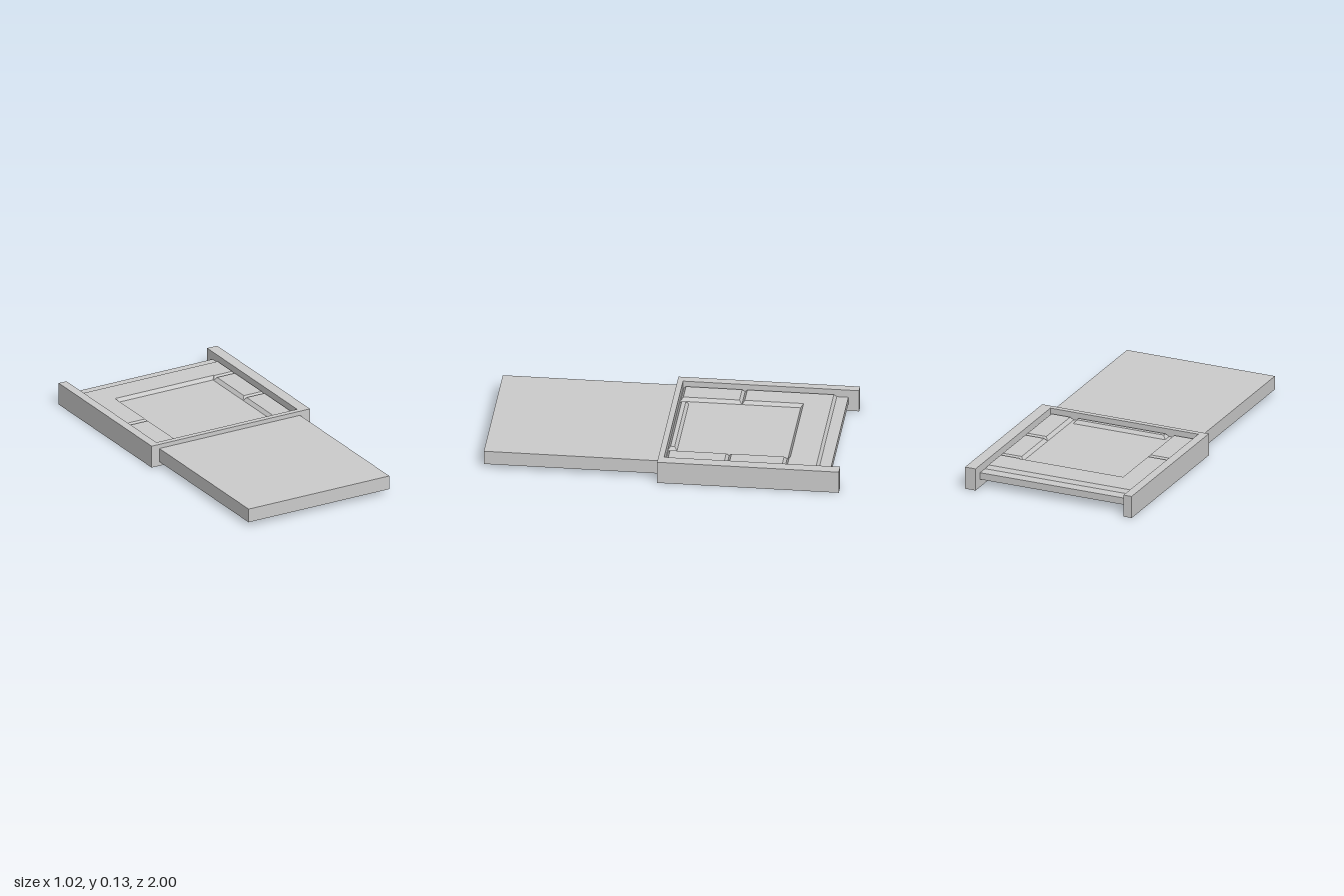
import * as THREE from 'three';

const material = new THREE.MeshStandardMaterial({ color: 0xcccccc, flatShading: true });

// Box given by its limits on each axis
function block(name, x0, x1, y0, y1, z0, z1) {
  const mesh = new THREE.Mesh(new THREE.BoxGeometry(x1 - x0, y1 - y0, z1 - z0), material);
  mesh.position.set((x0 + x1) / 2, (y0 + y1) / 2, (z0 + z1) / 2);
  mesh.name = name;
  return mesh;
}

// Raised panel, bevelled above and below, from an outline of [x, z] corners
function raisedPanel(name, outline) {
  const shape = new THREE.Shape(outline.map(([x, z]) => new THREE.Vector2(x, -z)));
  const geometry = new THREE.ExtrudeGeometry(shape, {
    depth: 0.04, bevelThickness: 0.02, bevelSize: 0.015, bevelOffset: -0.015, bevelSegments: 1,
  });
  geometry.rotateX(-Math.PI / 2);
  const mesh = new THREE.Mesh(geometry, material);
  mesh.position.y = 0.045;
  mesh.name = name;
  return mesh;
}

const rect = (x0, x1, z0, z1) => [[x0, z0], [x1, z0], [x1, z1], [x0, z1]];

export function createModel() {
  const group = new THREE.Group();
  group.name = 'panelledFrame';

  // Plain slab in front
  group.add(block('frontSlab', -0.465, 0.445, 0.025, 0.105, 0.02, 1));

  // Surrounding frame, open at the back
  group.add(block('rightRail', -0.515, -0.465, 0, 0.13, -1, 0.02));
  group.add(block('leftRail', 0.445, 0.51, 0, 0.13, -1, 0.02));
  group.add(block('frontRail', -0.465, 0.445, 0, 0.13, -0.012, 0.02));

  // Thin board carrying the raised panels
  group.add(block('board', -0.465, 0.445, 0.045, 0.085, -0.94, -0.012));

  // Angled panel around the recessed centre
  group.add(raisedPanel('cornerPanel', [
    [-0.465, -0.875], [0.445, -0.875], [0.445, -0.685], [0.3, -0.685],
    [0.3, -0.69], [-0.31, -0.69], [-0.31, -0.36], [-0.465, -0.36],
  ]));

  // Small side panels and the sill strip
  group.add(raisedPanel('rightSidePanel', rect(-0.465, -0.31, -0.36, -0.015)));
  group.add(raisedPanel('leftSidePanelBack', rect(0.3, 0.445, -0.685, -0.36)));
  group.add(raisedPanel('leftSidePanelFront', rect(0.3, 0.445, -0.36, -0.015)));
  group.add(raisedPanel('sillStrip', rect(-0.285, 0.28, -0.065, -0.012)));

  return group;
}
